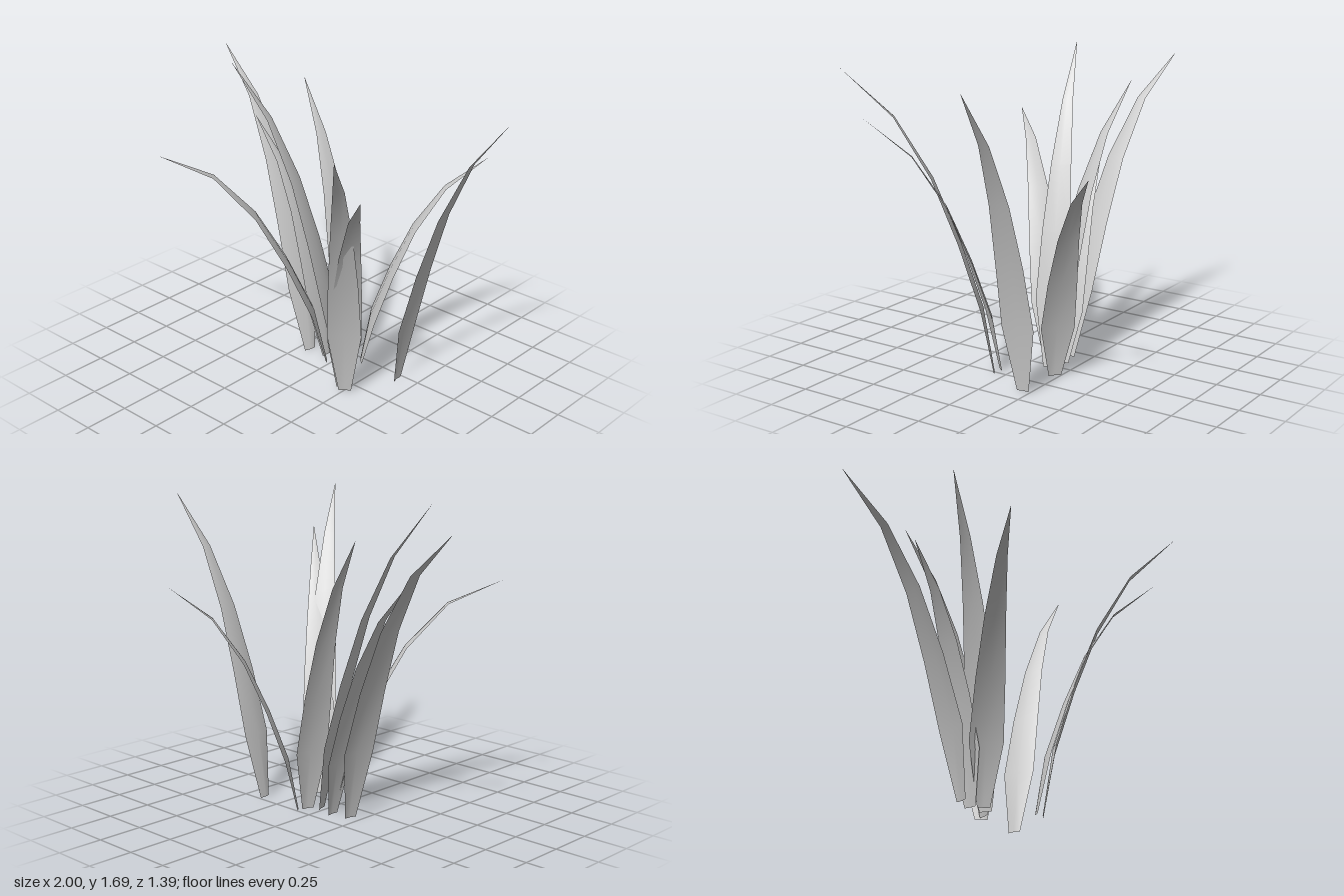
import * as THREE from 'three';

// Shared blade outline: half width and fold depth at each level
const LEVELS = [
  [0.034, 0.005],
  [0.091, 0.016],
  [0.078, 0.014],
  [0.056, 0.01],
  [0.029, 0.006],
  [0.0008, 0],
];

// Tilt of each segment relative to the blade's overall tilt
const BEND = [0.38, 0.75, 0.92, 1.3, 1.95];

// Each blade: base x, base z, tip x, tip y, tip z
const BLADES = [
  [0.387, -0.205, 0.995, 1.65, -0.28],
  [0.11, -0.22, 0.57, 1.22, -0.7],
  [0.25, 0.073, 0.71, 1.65, 0.69],
  [0.215, 0.05, 0.73, 1.41, 0.53],
  [-0.035, -0.1, -0.67, 1.26, 0.52],
  [0.027, -0.13, -0.56, 1.69, 0.075],
  [-0.077, -0.15, -0.6, 1.32, -0.14],
  [-0.185, -0.125, -1, 1.61, -0.31],
  [0.082, -0.178, -0.43, 1.53, -0.35],
];

// Running share of a list's total, starting at 0 and ending at 1
function shares(steps) {
  const total = steps.reduce((a, b) => a + b);
  let sum = 0;
  return [0, ...steps.map((s) => (sum += s) / total)];
}

// Bent ribbon, three points across, its edges folded outward from the midrib
function bladeGeometry([bx, bz, tx, ty, tz]) {
  const lean = new THREE.Vector3(tx - bx, 0, tz - bz);
  const out = lean.clone().normalize();
  const side = new THREE.Vector3(-out.z, 0, out.x);
  const tilt = Math.atan2(lean.length(), ty);
  const along = shares(BEND.map((b) => Math.sin(b * tilt)));
  const up = shares(BEND.map((b) => Math.cos(b * tilt)));
  const positions = [];
  const index = [];
  LEVELS.forEach(([half, depth], row) => {
    for (let col = -1; col <= 1; col++) {
      const p = new THREE.Vector3(bx, ty * up[row], bz)
        .addScaledVector(lean, along[row])
        .addScaledVector(side, col * half)
        .addScaledVector(out, Math.abs(col) * depth);
      positions.push(p.x, p.y, p.z);
    }
    if (row === LEVELS.length - 1) return;
    for (let col = 0; col < 2; col++) {
      const a = row * 3 + col;
      index.push(a, a + 1, a + 3, a + 1, a + 4, a + 3);
    }
  });
  const geometry = new THREE.BufferGeometry();
  geometry.setAttribute('position', new THREE.Float32BufferAttribute(positions, 3));
  geometry.setIndex(index);
  geometry.computeVertexNormals();
  return geometry;
}

export function createModel() {
  const group = new THREE.Group();
  group.name = 'grassClump';
  const paleGrey = new THREE.MeshStandardMaterial({ color: 0xcccccc, side: THREE.DoubleSide });
  paleGrey.name = 'pale grey';
  BLADES.forEach((blade, i) => {
    const mesh = new THREE.Mesh(bladeGeometry(blade), paleGrey);
    mesh.name = `grassBlade${i + 1}`;
    group.add(mesh);
  });
  return group;
}
